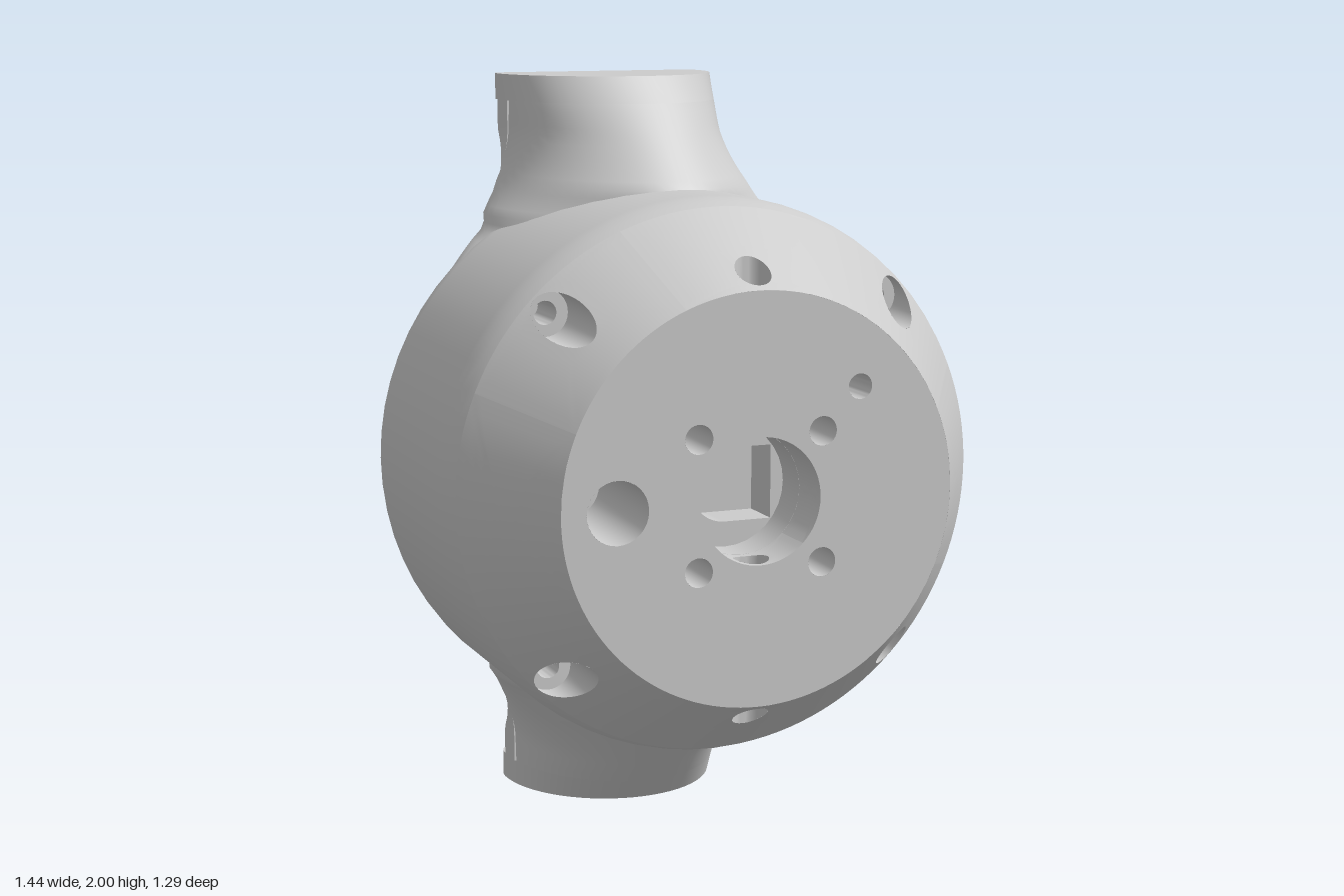
import * as THREE from 'three';
import { toCreasedNormals } from 'three/addons/utils/BufferGeometryUtils.js';

const material = new THREE.MeshStandardMaterial({ color: 0xcccccc, side: THREE.DoubleSide });
const { PI, sin, cos, min, max, sqrt, asin, atan2 } = Math;
const lerp = THREE.MathUtils.lerp;
const FRONT = 0.645, FACE_R = 0.52, BACK = -0.39, BORE = 0.16;
const N = 64;

// Height of the front cone at radius r, and its inverse
const coneZ = r => FRONT - (r - FACE_R) * 1.46;
const coneR = z => FACE_R + (FRONT - z) / 1.46;

function part(parent, name, geometry) {
  const mesh = new THREE.Mesh(geometry, material);
  mesh.name = name;
  parent.add(mesh);
  return mesh;
}

// Skin over closed rings of [x, y, z] points
function loft(rows, crease = 0.5) {
  const n = rows[0].length, index = [];
  for (let i = 0; i < rows.length - 1; i++)
    for (let j = 0; j < n; j++) {
      const a = i * n + j, b = i * n + (j + 1) % n;
      index.push(a, b, b + n, a, b + n, a + n);
    }
  const g = new THREE.BufferGeometry();
  g.setAttribute('position', new THREE.Float32BufferAttribute(rows.flat(2), 3));
  g.setIndex(index);
  return toCreasedNormals(g, crease);
}

// Surface patch over a (u, v) rectangle with a hole whose rim is hole(angle)
function patch(surface, u0, u1, v0, v1, hole) {
  const rows = [];
  for (let i = 0; i <= 6; i++) {
    const row = [];
    for (let k = 0; k < N; k++) {
      const side = Math.floor(k / 16), f = (k % 16) / 8 - 1;
      const [sx, sy] = [[1, f], [-f, 1], [-1, -f], [f, -1]][side];
      const h = hole ? hole(atan2(sy, sx)) : [(u0 + u1) / 2, (v0 + v1) / 2];
      const u = lerp(u0, u1, (sx + 1) / 2), v = lerp(v0, v1, (sy + 1) / 2);
      row.push(surface(lerp(h[0], u, i / 6), lerp(h[1], v, i / 6)));
    }
    rows.push(row);
  }
  // wind outward
  return loft(rows);
}

// Stepped round hole along z; a null depth follows the cone
function well(x, y, steps) {
  return loft(steps.map(([r, z]) => Array.from({ length: 32 }, (_, k) => {
    const a = k / 32 * 2 * PI, px = x + r * cos(a), py = y + r * sin(a);
    return [px, py, z ?? coneZ(Math.hypot(px, py))];
  })));
}

const circle = (x, y, r) => new THREE.Path().absarc(x, y, r, 0, 2 * PI, true);

function extrude(shape, z0, z1, holes = []) {
  shape.holes.push(...holes);
  return new THREE.ExtrudeGeometry(shape, { depth: z1 - z0, bevelEnabled: false, curveSegments: 24 }).translate(0, 0, z0);
}

function polygon(points) {
  return new THREE.Shape(points.map(p => new THREE.Vector2(...p)));
}

const rect = (x, y0, y1) => polygon([[-x, y0], [x, y0], [x, y1], [-x, y1]]);

// D-shaped arm section at height y, widening and rounding towards the body
function armSection(y, back) {
  const s = min(1, max(0, (0.85 - y) / 0.35));
  const flare = 0.3 + 1.92 * max(0, 0.85 - y) ** 2;
  const w = min(flare, sqrt(0.515 - min(y, 0.6) ** 2));
  const wb = lerp(0.27, 0.3, s), zc = lerp(-0.47, -0.19, s), zb = lerp(-0.53, BACK, s);
  const zf = min(0.13, 0.845 - y);
  const half = [];
  for (let i = 6; i > 0; i--) {
    const t = i / 6 * PI / 2;
    half.push([wb + (w - wb) * cos(t), y, max(back, zc + (zb - zc) * sin(t))]);
  }
  for (let i = 0; i <= 16; i++) {
    const t = i / 16 * PI / 2;
    half.push([w * cos(t), y, zc + (zf - zc) * sin(t)]);
  }
  return [...half, ...half.slice(0, -1).reverse().map(([x, py, z]) => [-x, py, z])];
}

function createArm() {
  const arm = new THREE.Group();
  const rows = [];
  for (let i = 0; i <= 24; i++) rows.push(armSection(lerp(0.42, 0.93, i / 24), BACK));
  part(arm, 'armNeck', loft(rows, 0.7));
  const low = armSection(0.93, -1), high = armSection(1, -1);
  const centre = y => low.map(() => [0, y, -0.35]);
  part(arm, 'endFlange', loft([centre(0.93), low, high, centre(1)], 0.6));
  return arm;
}

function createHousing() {
  const housing = new THREE.Group();
  housing.name = 'housing';

  // Drum with rounded back edge and softened shoulder
  const profile = [[0, BACK]];
  for (let i = 0; i <= 10; i++) {
    const t = i / 10 * PI / 2;
    profile.push([0.52 + 0.2 * sin(t), -0.19 - 0.2 * cos(t)]);
  }
  profile.push([0.72, 0.29], [0.717, 0.325], [0.71, 0.357], [0.7, coneZ(0.7)]);
  const drum = new THREE.LatheGeometry(profile.map(p => new THREE.Vector2(...p)), N).rotateX(PI / 2);
  part(housing, 'drum', drum);

  // Front cone in eight sectors, six of them pierced
  const cone = (u, r) => [r * cos(u), r * sin(u), coneZ(r)];
  for (let i = 0; i < 8; i++) {
    const mid = i * PI / 4;
    let hole = null;
    if (i % 2) hole = a => {
      const x = 0.636 + 0.06 * sin(a), y = 0.06 * cos(a);
      return [mid + atan2(y, x), Math.hypot(x, y)];
    };
    else if (i % 4 === 2) hole = a => {
      const r = coneR(0.585 - 0.045 * sin(a));
      return [mid + asin(0.045 * cos(a) / r), r];
    };
    part(housing, 'coneSector', patch(cone, mid - PI / 8, mid + PI / 8, FACE_R, 0.7, hole));
    if (i % 2) part(housing, 'screwHole', well(0.636 * cos(mid), 0.636 * sin(mid),
      [[0.06, null], [0.06, 0.34], [0.03, 0.34], [0.03, 0.2], [0, 0.2]]));
  }

  // Flat front face with its drilled holes
  const drills = [[-0.375, 0, 0.08, 0.3], [0.265, 0.27, 0.032, 0.5]];
  for (const x of [-0.165, 0.165]) for (const y of [-0.165, 0.165]) drills.push([x, y, 0.037, 0.45]);
  const face = new THREE.Shape().absarc(0, 0, FACE_R, 0, 2 * PI);
  face.holes.push(circle(0, 0, BORE), ...drills.map(([x, y, r]) => circle(x, y, r)));
  part(housing, 'frontFace', new THREE.ShapeGeometry(face, 32).translate(0, 0, FRONT));
  for (const [x, y, r, z] of drills) part(housing, 'drilledHole', well(x, y, [[r, FRONT], [r, z], [0, z]]));

  // Central bore, crossed by a vertical pin hole
  const boreWall = (u, z) => [BORE * cos(u), BORE * sin(u), z];
  for (let i = 0; i < 4; i++) {
    const mid = i * PI / 2;
    const hole = i % 2 ? a => [mid + asin(0.045 * cos(a) / BORE), 0.585 + 0.045 * sin(a)] : null;
    part(housing, 'boreWall', patch(boreWall, mid - PI / 4, mid + PI / 4, 0.52, FRONT, hole));
  }
  part(housing, 'boreLower', well(0, 0, [[BORE, 0.52], [BORE, 0.3], [0, 0.3]]));
  const slot = new THREE.Path().absarc(0, 0, 0.095, PI / 2, PI * 1.5);
  slot.lineTo(0.125, -0.095);
  slot.lineTo(0.125, 0.095);
  slot.closePath();
  part(housing, 'boreSeat', extrude(new THREE.Shape().absarc(0, 0, BORE, 0, 2 * PI), 0.3, 0.42, [slot]));
  for (const s of [-1, 1]) {
    const ring = radius => Array.from({ length: 32 }, (_, k) => {
      const a = k / 32 * 2 * PI, x = 0.045 * cos(a), z = 0.585 + 0.045 * sin(a);
      return [x, s * sqrt(radius(z) ** 2 - x * x), z];
    });
    part(housing, 'pinHole', loft([ring(coneR), ring(() => BORE)]));
  }
  return housing;
}

function createRail() {
  const rail = new THREE.Group();
  rail.name = 'rail';
  part(rail, 'railBed', extrude(rect(0.165, -0.93, 0.93), -0.53, BACK));
  part(rail, 'railBase', extrude(rect(0.165, -0.96, 0.965), -0.555, -0.53));
  const holes = r => Array.from({ length: 7 }, (_, i) => circle(0, (i - 3) * 0.29, r));
  part(rail, 'railCore', extrude(rect(0.07, -0.96, 0.965), -0.6, -0.555, holes(0.022)));
  part(rail, 'railTop', extrude(rect(0.07, -0.96, 0.965), -0.645, -0.6, holes(0.04)));
  return rail;
}

export function createModel() {
  const model = new THREE.Group();
  const body = new THREE.Group();
  body.name = 'body';
  body.position.y = 1;
  model.add(body);
  body.add(createHousing(), createRail());

  // Upper and lower arms
  for (const name of ['upperArm', 'lowerArm']) {
    const arm = createArm();
    arm.name = name;
    if (name === 'lowerArm') arm.rotation.z = PI;
    body.add(arm);
  }

  // Side guide bars with bevelled ends
  for (const s of [-1, 1]) {
    const bar = polygon([[s * 0.32, -0.4], [s * 0.385, -0.33], [s * 0.385, 0.33], [s * 0.32, 0.4]]);
    part(body, s > 0 ? 'leftGuideBar' : 'rightGuideBar', extrude(bar, -0.52, BACK + 0.03));
  }
  return model;
}
